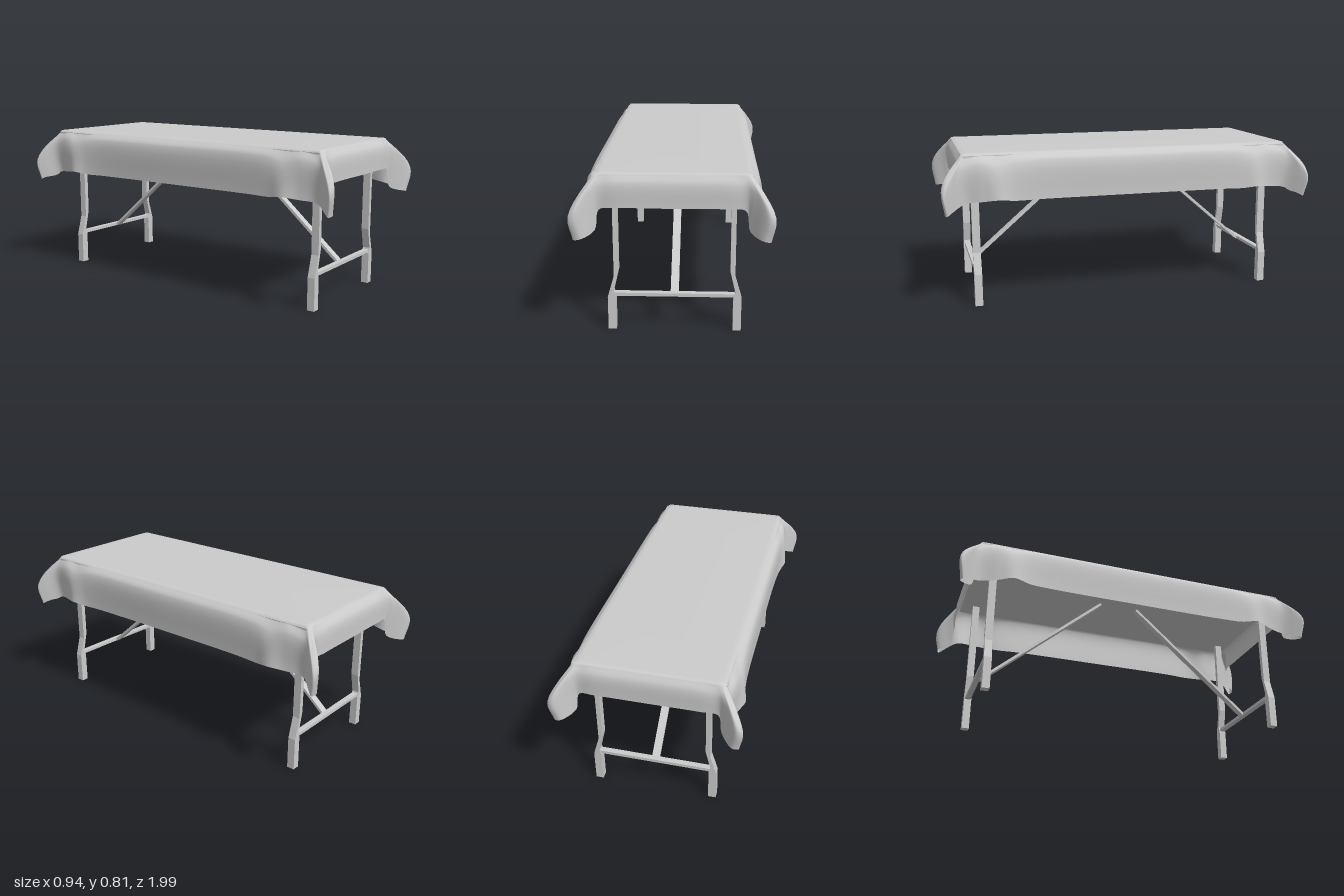
import * as THREE from 'three';

const grey = new THREE.MeshStandardMaterial({ color: 0xcccccc });
const clothGrey = new THREE.MeshStandardMaterial({ color: 0xcccccc, side: THREE.DoubleSide });
const TOP = 0.812;

function box(name, w, h, d, x, y, z) {
  const mesh = new THREE.Mesh(new THREE.BoxGeometry(w, h, d), grey);
  mesh.name = name;
  mesh.position.set(x, y, z);
  return mesh;
}

// One quarter of the cloth, from the middle of a long side round the corner to
// the middle of an end: top edge (x, z), shoulder (x, y, z), hem (x, y, z)
const stations = [
  [0.365, 0.00, 0.405, 0.770, 0.00, 0.405, 0.57, 0.00],
  [0.365, 0.50, 0.405, 0.770, 0.50, 0.408, 0.57, 0.50],
  [0.365, 0.62, 0.408, 0.760, 0.62, 0.418, 0.57, 0.62],
  [0.365, 0.71, 0.412, 0.740, 0.71, 0.436, 0.58, 0.71],
  [0.365, 0.79, 0.405, 0.760, 0.79, 0.405, 0.57, 0.79],
  [0.365, 0.86, 0.400, 0.730, 0.89, 0.385, 0.56, 0.875],
  [0.363, 0.875, 0.450, 0.670, 0.955, 0.437, 0.53, 0.945],
  [0.358, 0.880, 0.470, 0.635, 0.985, 0.455, 0.515, 0.972],
  [0.352, 0.882, 0.440, 0.660, 0.992, 0.420, 0.52, 0.980],
  [0.345, 0.884, 0.375, 0.735, 0.930, 0.360, 0.545, 0.915],
  [0.325, 0.885, 0.340, 0.755, 0.908, 0.340, 0.64, 0.905],
  [0.26, 0.885, 0.26, 0.765, 0.910, 0.26, 0.65, 0.912],
  [0.00, 0.885, 0.00, 0.765, 0.910, 0.00, 0.65, 0.912],
];

function cloth() {
  // Mirror the quarter into a closed ring of hanging curves
  const ring = [];
  for (const [sx, sz] of [[1, 1], [-1, 1], [-1, -1], [1, -1]]) {
    const quarter = sx * sz > 0 ? stations.slice(0, -1) : stations.slice(1).reverse();
    for (const [tx, tz, mx, my, mz, hx, hy, hz] of quarter) {
      ring.push(new THREE.CatmullRomCurve3([
        new THREE.Vector3(sx * tx, TOP - 0.003, sz * tz),
        new THREE.Vector3(sx * mx, my, sz * mz),
        new THREE.Vector3(sx * hx, hy, sz * hz),
      ]));
    }
  }
  // Loops from the top edge down to the hem
  const levels = 14, around = ring.length * 6, loops = [];
  for (let l = 0; l <= levels; l++) {
    const loop = new THREE.CatmullRomCurve3(ring.map((c) => c.getPoint(l / levels)), true);
    loops.push(Array.from({ length: around }, (_, i) => loop.getPoint(i / around)));
  }
  // Flat top closes inward to the centre line
  const edge = loops[0];
  loops.unshift(
    edge.map((p) => new THREE.Vector3(0, TOP, p.z * 0.55)),
    edge.map((p) => new THREE.Vector3(p.x * 0.93, TOP, p.z * 0.97)),
  );
  const index = [];
  for (let l = 0; l < loops.length - 1; l++) {
    for (let i = 0; i < around; i++) {
      const j = (i + 1) % around;
      const a = l * around + i, b = l * around + j;
      index.push(a, b, a + around, b, b + around, a + around);
    }
  }
  const geometry = new THREE.BufferGeometry().setFromPoints(loops.flat());
  geometry.setIndex(index);
  geometry.computeVertexNormals();
  const mesh = new THREE.Mesh(geometry, clothGrey);
  mesh.name = 'tablecloth';
  return mesh;
}

// Cranked leg: thick foot, slanted knee, thin upper part
function leg(side) {
  const outline = [
    [0.286, 0], [0.326, 0], [0.326, 0.17], [0.294, 0.28],
    [0.294, 0.775], [0.27, 0.775], [0.27, 0.31], [0.296, 0.2], [0.286, 0.17],
  ].map(([x, y]) => new THREE.Vector2(side * x, y));
  const geometry = new THREE.ExtrudeGeometry(new THREE.Shape(outline), { depth: 0.04, bevelEnabled: false });
  geometry.translate(0, 0, -0.02);
  const mesh = new THREE.Mesh(geometry, grey);
  mesh.name = side > 0 ? 'leftLeg' : 'rightLeg';
  return mesh;
}

// Pair of legs with a crossbar and a diagonal brace up to the board
function legFrame(name, z, turn) {
  const frame = new THREE.Group();
  frame.name = name;
  frame.position.set(0.006, 0, z);
  frame.rotation.y = turn;
  frame.add(leg(1), leg(-1));
  frame.add(box('crossbar', 0.61, 0.017, 0.03, 0, 0.183, 0));
  const rise = 0.585, run = 0.68;
  const brace = box('brace', 0.04, 0.015, Math.hypot(rise, run), 0, 0.18 + rise / 2, -0.015 - run / 2);
  brace.rotation.x = Math.atan2(rise, run);
  frame.add(brace);
  return frame;
}

export function createModel() {
  const model = new THREE.Group();
  model.name = 'coveredFoldingTable';
  model.add(cloth());
  model.add(box('tableBoard', 0.75, 0.03, 1.76, 0, 0.785, 0));
  model.add(legFrame('frontLegs', 0.82, 0));
  model.add(legFrame('backLegs', -0.795, Math.PI));
  return model;
}
